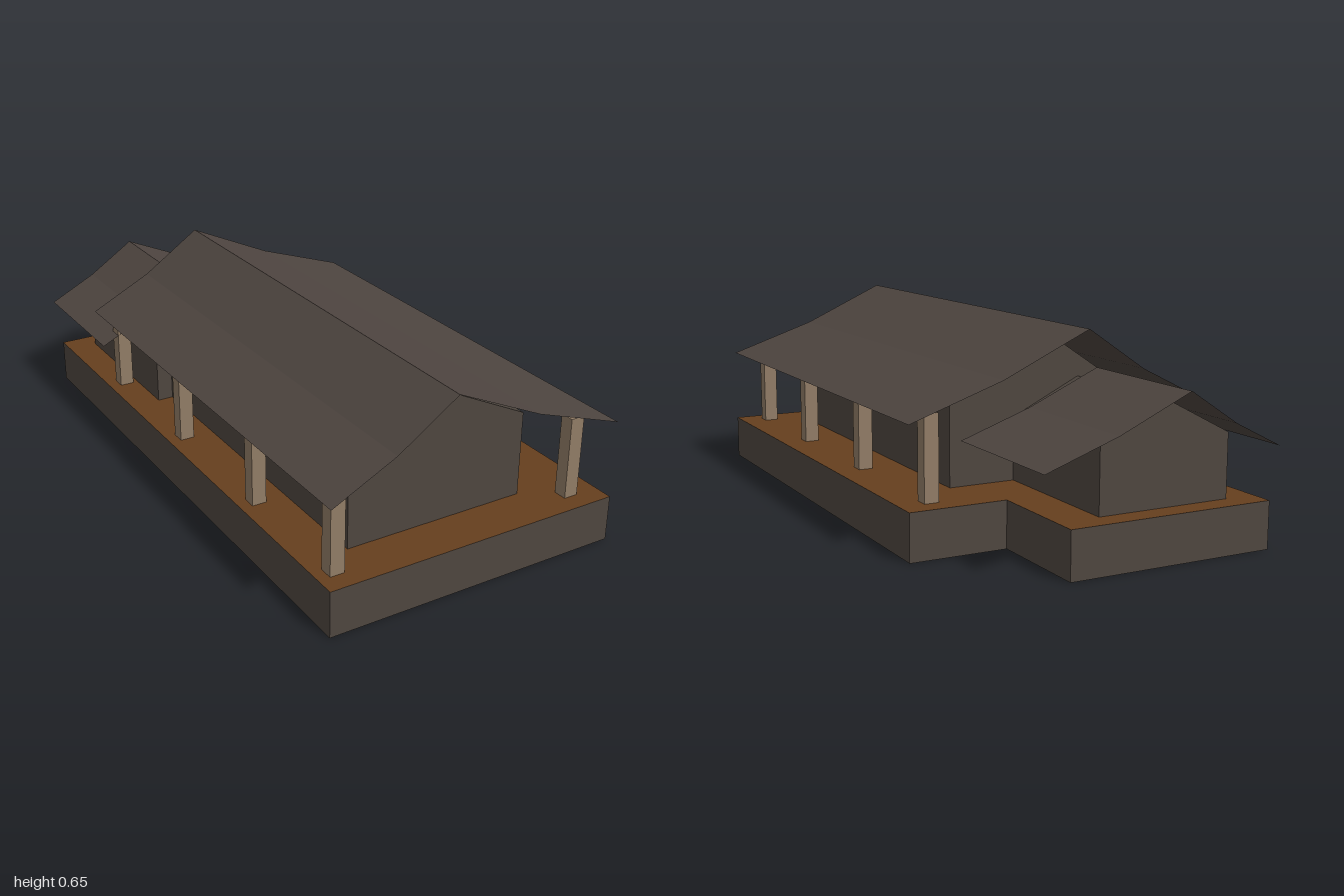
import * as THREE from 'three';

const mat = (name, color, side = THREE.FrontSide) => {
  const m = new THREE.MeshStandardMaterial({ color, side });
  m.name = name;
  return m;
};

export function createModel() {
  const wall = mat('dark timber', 0x4e463f);
  const roof = mat('roof boards', 0x4e4540, THREE.DoubleSide);
  const deck = mat('brown deck', 0x663f1e);
  const post = mat('pale wood', 0x917c66);

  const house = new THREE.Group();
  house.name = 'house';
  const add = (name, geometry, material) => {
    const mesh = new THREE.Mesh(geometry, material);
    mesh.name = name;
    house.add(mesh);
    return mesh;
  };

  // Box given by its extents
  const box = (name, [x0, x1], [y0, y1], [z0, z1], material) =>
    add(name, new THREE.BoxGeometry(x1 - x0, y1 - y0, z1 - z0), material)
      .position.set((x0 + x1) / 2, (y0 + y1) / 2, (z0 + z1) / 2);

  // Solid body with a gabled outline, extruded along z
  const body = (name, outline, z0, z1) => {
    const shape = new THREE.Shape(outline.map(([x, y]) => new THREE.Vector2(x, y)));
    const g = new THREE.ExtrudeGeometry(shape, { depth: z1 - z0, bevelEnabled: false });
    add(name, g.translate(0, 0, z0), wall);
  };

  // Thin folded roof sheet, profile running from -x to +x
  const roofSheet = (name, profile, z0, z1) => {
    const p = [];
    for (let i = 0; i < profile.length - 1; i++) {
      const [[ax, ay], [bx, by]] = [profile[i], profile[i + 1]];
      p.push(ax, ay, z0, ax, ay, z1, bx, by, z1, ax, ay, z0, bx, by, z1, bx, by, z0);
    }
    const g = new THREE.BufferGeometry();
    g.setAttribute('position', new THREE.Float32BufferAttribute(p, 3));
    g.computeVertexNormals();
    add(name, g, roof);
  };

  // Raised platforms with a coloured deck on top
  const FLOOR = 0.152;
  const platform = [wall, wall, deck, wall, wall, wall];
  box('mainPlatform', [-0.5, 0.515], [0, FLOOR], [-0.62, 1], platform);
  box('rearPlatform', [-0.5, 0.194], [0, FLOOR], [-0.985, -0.62], platform);

  // Main hall and rear annex
  body('mainHall', [[-0.343, FLOOR], [0.28, FLOOR], [0.28, 0.433], [-0.08, 0.608], [-0.343, 0.433]], -0.41, 0.84);
  body('rearAnnex', [[-0.397, FLOOR], [0.055, FLOOR], [0.055, 0.357], [-0.18, 0.47], [-0.397, 0.357]], -0.91, -0.325);

  // Roofs, slightly flared toward the eaves
  roofSheet('mainRoof', [[-0.5, 0.41], [-0.29, 0.515], [-0.09, 0.65], [0.205, 0.515], [0.515, 0.41]], -0.62, 1);
  roofSheet('annexRoof', [[-0.52, 0.32], [-0.355, 0.403], [-0.192, 0.51], [0.05, 0.403], [0.29, 0.32]], -1, -0.505);

  // Veranda posts along both sides
  for (const x of [-0.438, 0.411])
    for (const z of [0.915, 0.466, -0.032, -0.53])
      box('verandaPost', [x - 0.024, x + 0.024], [FLOOR, 0.424], [z - 0.023, z + 0.023], post);

  return house;
}
